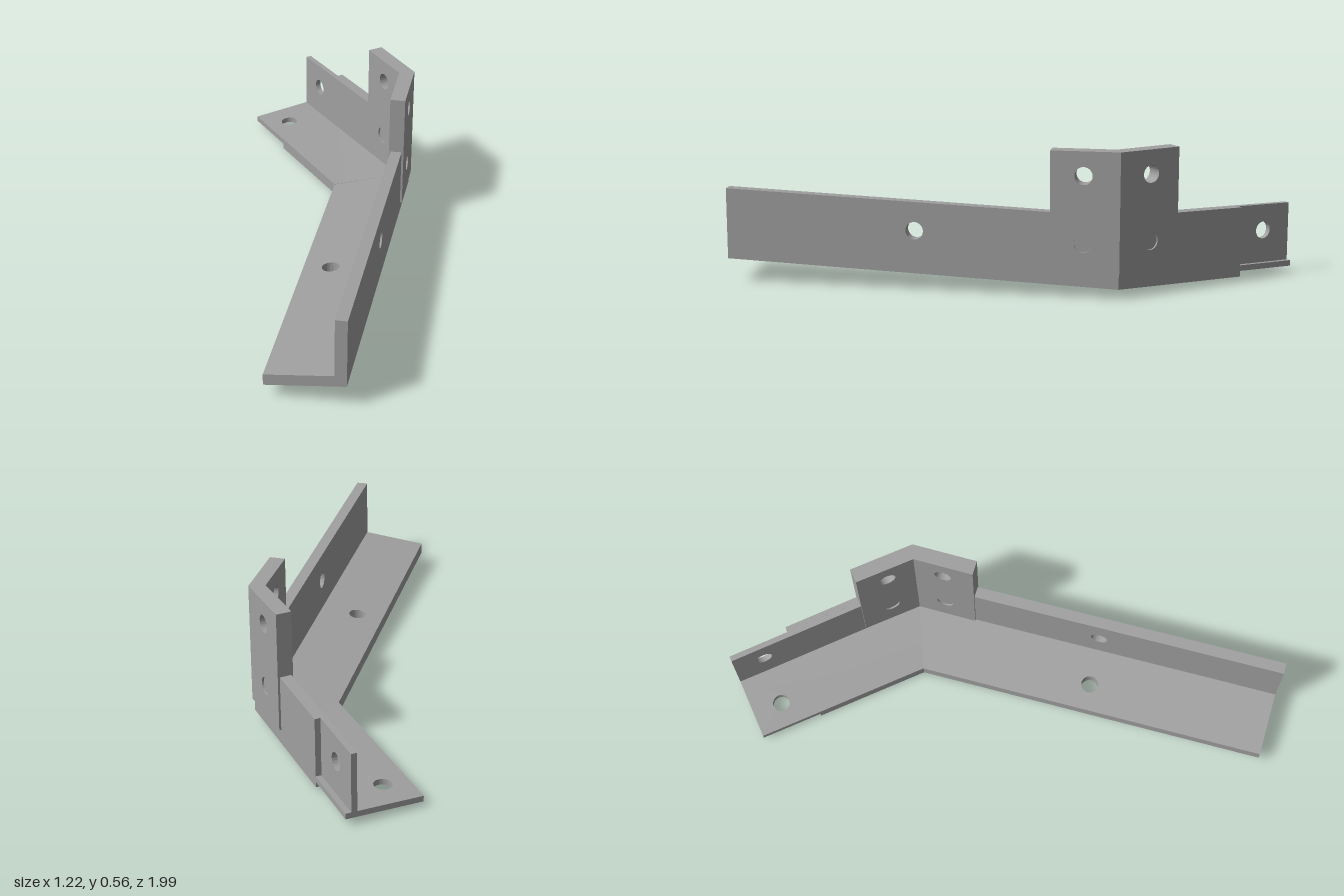
import * as THREE from 'three';
import { toCreasedNormals } from 'three/addons/utils/BufferGeometryUtils.js';

const TURN = THREE.MathUtils.degToRad(40);   // bend between the two arms
const MITRE = Math.tan(TURN / 2);
const R = 0.034;                             // bolt hole radius
const T = 0.045, HALF = T / 2;               // angle-section thickness, and half of it
const W = 0.3;                               // flange width
const LB = 1.526, LA = 0.82, STEP = 0.57;    // long arm, short arm, start of the lap joint
const CX = 0.6, CZ = -0.18;                  // outer corner in plan

// Outline with round holes
function outline(points, holes = []) {
  const shape = new THREE.Shape(points.map(([x, y]) => new THREE.Vector2(x, y)));
  for (const [x, y] of holes) {
    const hole = new THREE.Path();
    hole.absarc(x, y, R, 0, Math.PI * 2, true);
    shape.holes.push(hole);
  }
  return shape;
}

function extrude(shape, depth) {
  return new THREE.ExtrudeGeometry(shape, { depth, bevelEnabled: false, curveSegments: 32 });
}

function finish(geometry, material, name) {
  geometry.computeVertexNormals();
  const mesh = new THREE.Mesh(toCreasedNormals(geometry, 0.4), material);
  mesh.name = name;
  return mesh;
}

// Upright panel: x runs along the arm (0 at the corner), mitred at the corner.
// side +1 is the short rear arm, -1 the long front arm.
function panel(name, material, side, shape, from, to, cx = CX, cz = CZ) {
  const geometry = extrude(shape, to - from);
  geometry.translate(0, 0, -to);
  const p = geometry.attributes.position;
  for (let i = 0; i < p.count; i++) {
    if (Math.abs(p.getX(i)) < 1e-6) p.setX(i, -side * p.getZ(i) * MITRE);
  }
  const a = side > 0 ? 0 : TURN;
  const along = new THREE.Vector3(Math.sin(a), 0, -Math.cos(a));
  const out = new THREE.Vector3(Math.cos(a), 0, Math.sin(a));
  const m = new THREE.Matrix4().makeBasis(along, new THREE.Vector3(0, 1, 0), out);
  m.setPosition(cx, 0, cz);
  geometry.applyMatrix4(m);
  return finish(geometry, material, name);
}

// Sloping underside heights of the two flanges
const frontBase = (x, z) => 0.037 + 0.0665 * (x - CX) + 0.1035 * (z - CZ);
const rearBase = (x, z) =>
  0.037 + 0.036 * (z - CZ) + (x - CX) * (0.055 + 0.072 * (z + 0.75));

// Flange drawn in plan as [x, z], then laid on its sloping base
function flange(name, material, points, holes, base, from, to) {
  const flip = ([x, z]) => [x, -z];
  const geometry = extrude(outline(points.map(flip), holes.map(flip)), to - from);
  geometry.rotateX(-Math.PI / 2);
  const p = geometry.attributes.position;
  for (let i = 0; i < p.count; i++) {
    p.setY(i, p.getY(i) + from + base(p.getX(i), p.getZ(i)));
  }
  return finish(geometry, material, name);
}

export function createModel() {
  const model = new THREE.Group();
  model.name = 'angledBracket';
  const steel = new THREE.MeshStandardMaterial({ color: 0xa0a0a0 });
  steel.name = 'grey steel';

  // Plan corners
  const s = Math.sin(TURN), c = Math.cos(TURN);
  const outer = [CX, CZ];
  const inner = [CX - W, CZ - W * MITRE];
  const endOuter = [CX - s * LB, CZ + c * LB];
  const endInner = [endOuter[0] - c * W, endOuter[1] - s * W];
  const rear = (z) => [[CX, z], [CX - W, z]];

  // Bottom flanges; the rear one loses its lower half at the lap joint
  model.add(
    flange('frontFlange', steel, [outer, inner, endInner, endOuter],
      [[-0.055, 0.3]], frontBase, 0, T),
    flange('rearFlangeLower', steel, [outer, ...rear(CZ - STEP), inner],
      [], rearBase, 0, HALF),
    flange('rearFlangeUpper', steel, [outer, ...rear(CZ - LA), inner],
      [[0.4, -0.88]], rearBase, HALF, T)
  );

  // Upright walls; the rear one loses its outer half at the lap joint
  model.add(
    panel('frontWall', steel, -1, outline(
      [[-LB, 0.113], [0, 0.057], [0, 0.315], [-LB, 0.371]], [[-0.782, 0.232]]), 0, T),
    panel('rearWallOuter', steel, 1, outline(
      [[0, 0.057], [STEP, 0.037], [STEP, 0.293], [0, 0.315]]), 0, HALF),
    panel('rearWallInner', steel, 1, outline(
      [[0, 0.065], [LA, 0.036], [LA, 0.283], [0, 0.315]], [[0.695, 0.185]]), HALF, T)
  );

  // Tall bent plate wrapped around the corner, two holes per leaf
  const L = 0.263, low = 0.087, high = 0.56;
  for (const side of [1, -1]) {
    const x0 = Math.min(0, side * L), x1 = Math.max(0, side * L);
    const shape = outline([[x0, low], [x1, low], [x1, high], [x0, high]],
      [[side * 0.138, 0.21], [side * 0.138, 0.467]]);
    model.add(panel(side > 0 ? 'rearCornerPlate' : 'frontCornerPlate', steel, side,
      shape, 0, 0.06, CX + 0.008, CZ + 0.003));
  }
  return model;
}
